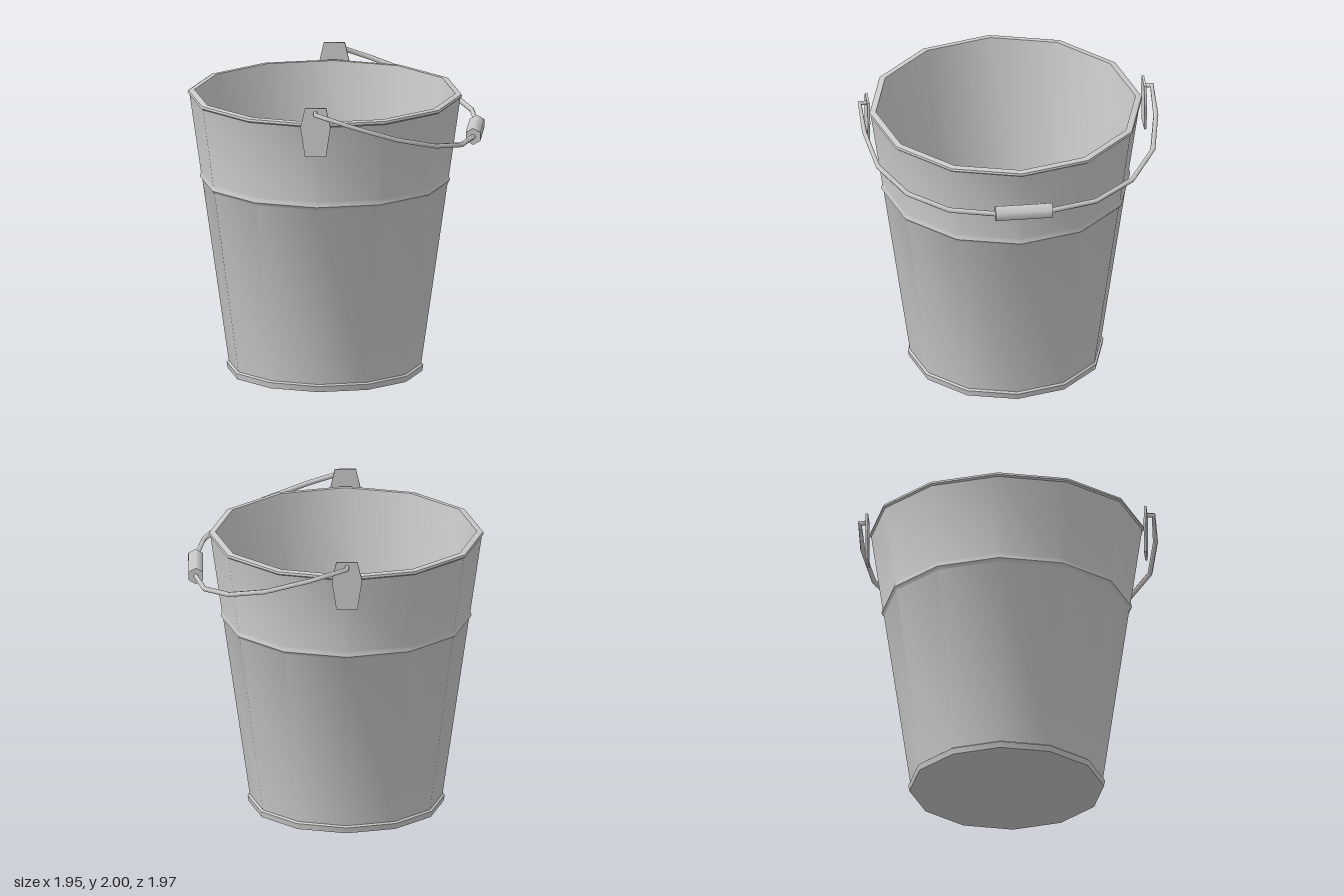
import * as THREE from 'three';
import { toCreasedNormals } from 'three/addons/utils/BufferGeometryUtils.js';

const material = new THREE.MeshStandardMaterial({ color: 0xcccccc });
const CENTRE_X = -0.07;

// Straight-segment path whose samples land exactly on its corners
class Polyline extends THREE.Curve {
  constructor(points) {
    super();
    this.points = points;
  }
  getPoint(t, target = new THREE.Vector3()) {
    const n = this.points.length - 1;
    const i = Math.min(Math.floor(t * n + 1e-9), n - 1);
    return target.lerpVectors(this.points[i], this.points[i + 1], t * n - i);
  }
  getPointAt(t, target) {
    return this.getPoint(t, target);
  }
  getTangentAt(t, target = new THREE.Vector3()) {
    const n = this.points.length - 1, i = Math.round(t * n), p = this.points;
    const dir = (a, b) => p[b].clone().sub(p[a]).normalize();
    target.set(0, 0, 0);
    if (i > 0) target.add(dir(i - 1, i));
    if (i < n) target.add(dir(i, i + 1));
    return target.normalize();
  }
}

function addMesh(group, name, geometry) {
  const mesh = new THREE.Mesh(geometry, material);
  mesh.name = name;
  group.add(mesh);
  return mesh;
}

export function createModel() {
  const model = new THREE.Group();
  model.name = 'bucket';

  // Twelve-sided shell: base, foot band, wall, raised hoop, rim, inner wall, floor
  const profile = [
    [0, 0], [0.645, 0], [0.652, 0.04], [0.638, 0.05],
    [0.813, 1.28], [0.83, 1.3], [0.822, 1.33],
    [0.898, 1.86], [0.91, 1.87], [0.906, 1.885], [0.895, 1.89],
    [0.865, 1.89], [0.6, 0.04], [0, 0.04],
  ].map(([r, y]) => new THREE.Vector2(r, y));
  const shell = new THREE.LatheGeometry(profile, 12);
  addMesh(model, 'shell', toCreasedNormals(shell, 0.6)).position.x = CENTRE_X;

  // Ears that carry the handle, front and back
  const earShape = new THREE.Shape([
    [-0.07, 1.67], [0.07, 1.67], [0.1, 1.87], [0.07, 2], [-0.07, 2], [-0.1, 1.87],
  ].map(([x, y]) => new THREE.Vector2(x, y)));
  const earGeometry = new THREE.ExtrudeGeometry(earShape, { depth: 0.016, bevelEnabled: false });
  for (const [name, z] of [['frontEar', 0.914], ['backEar', -0.93]]) {
    addMesh(model, name, earGeometry).position.set(CENTRE_X, 0, z);
  }

  // Handle wire: half of the path in plan, mirrored, lying in a sloping plane
  const half = [
    [-0.07, 0.92], [-0.07, 0.973], [0.18, 0.97], [0.47, 0.915],
    [0.71, 0.75], [0.87, 0.49], [0.925, 0.19],
  ];
  const plan = [...half, ...half.map(([x, z]) => [x, -z]).reverse()];
  const path = plan.map(([x, z]) => new THREE.Vector3(x, 1.965 - 0.322 * (x - CENTRE_X), z));
  addMesh(model, 'handleWire',
    new THREE.TubeGeometry(new Polyline(path), path.length - 1, 0.017, 6));

  // Hexagonal grip
  const grip = addMesh(model, 'grip', new THREE.CylinderGeometry(0.056, 0.056, 0.38, 6));
  grip.geometry.rotateX(Math.PI / 2);
  grip.position.set(0.925, 1.645, 0);

  return model;
}
